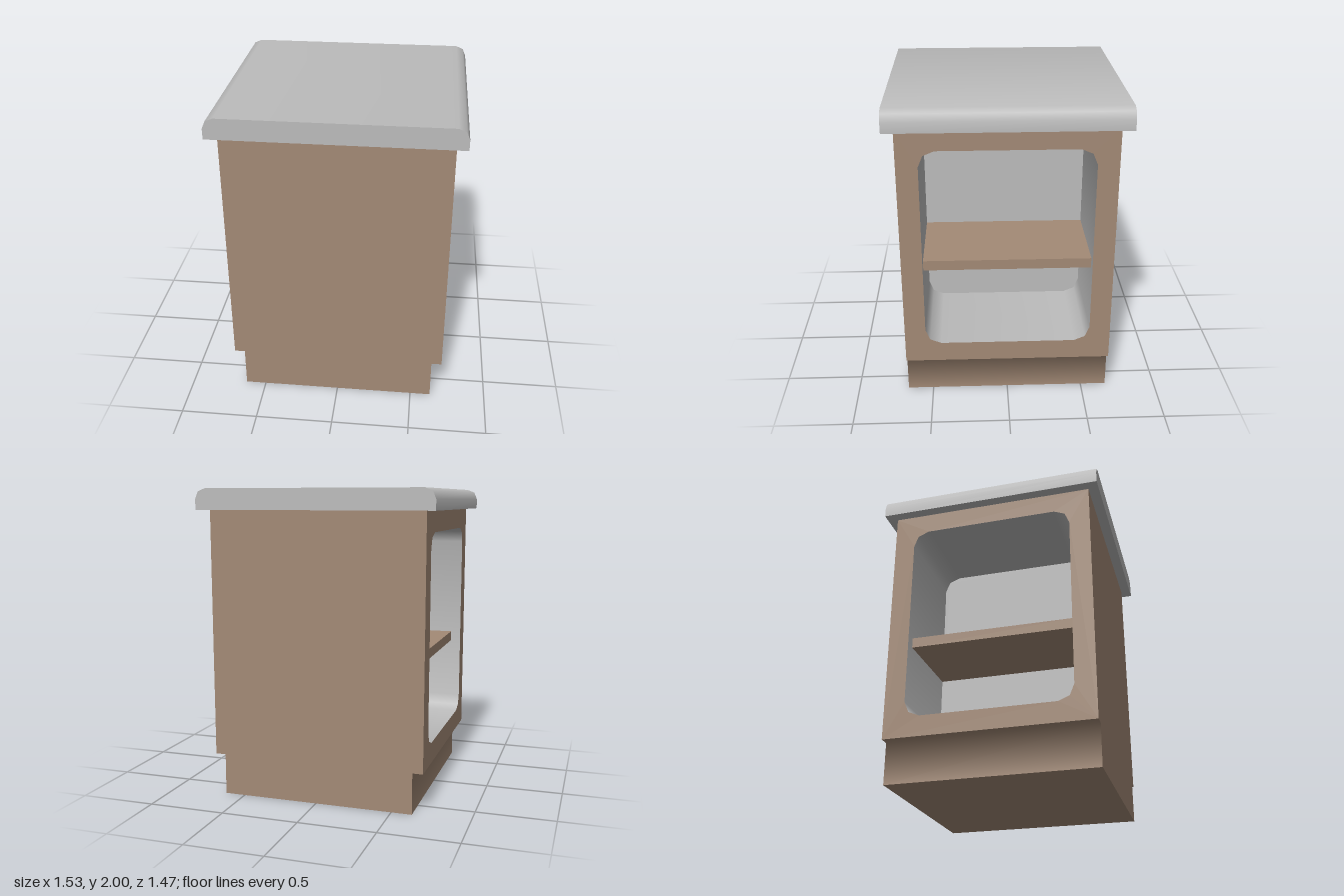
import * as THREE from 'three';

const V = (x, y) => new THREE.Vector2(x, y);

// Quarter-round corner in two facets, from angle a0 by a quarter turn
function corner(cx, cy, r, a0) {
  return [0, 1, 2].map((i) => {
    const a = a0 + (i * Math.PI) / 4;
    return V(cx + r * Math.cos(a), cy + r * Math.sin(a));
  });
}

// Smooth-shaded strip: a profile in xy swept along z; faces lie to the right of the path
function ribbon(points, z0, z1, closed = false) {
  const pts = closed ? [...points, points[0]] : points;
  const segs = pts.slice(1).map((p, i) => {
    const d = p.clone().sub(pts[i]).normalize();
    return V(d.y, -d.x);
  });
  const pos = [], nor = [], idx = [];
  pts.forEach((p, i) => {
    const before = segs[i - 1] ?? (closed ? segs[segs.length - 1] : segs[0]);
    const after = segs[i] ?? (closed ? segs[0] : segs[segs.length - 1]);
    const n = before.clone().add(after).normalize();
    pos.push(p.x, p.y, z1, p.x, p.y, z0);
    nor.push(n.x, n.y, 0, n.x, n.y, 0);
    if (i < segs.length) {
      const a = i * 2;
      idx.push(a, a + 1, a + 3, a, a + 3, a + 2);
    }
  });
  const g = new THREE.BufferGeometry();
  g.setAttribute('position', new THREE.Float32BufferAttribute(pos, 3));
  g.setAttribute('normal', new THREE.Float32BufferAttribute(nor, 3));
  g.setIndex(idx);
  return g;
}

export function createModel() {
  const wood = new THREE.MeshStandardMaterial({ name: 'wood', color: 0xa38a76 });
  const grey = new THREE.MeshStandardMaterial({ name: 'grey', color: 0xbcbcbc });

  const W = 0.7, D = 0.667, KICK = 0.267, KICK_X = 0.633, TOP = 1.867;
  const TOP_W = 0.767, TOP_D = 0.733, WALL = 0.067;

  const model = new THREE.Group();
  model.name = 'cabinet';
  const add = (parent, name, geometry, material) => {
    const mesh = new THREE.Mesh(geometry, material);
    mesh.name = name;
    parent.add(mesh);
    return mesh;
  };

  // Stepped outline of the body ends
  const bodyOutline = new THREE.Shape([
    V(-KICK_X, 0), V(KICK_X, 0), V(KICK_X, KICK), V(W, KICK),
    V(W, TOP), V(-W, TOP), V(-W, KICK), V(-KICK_X, KICK),
  ]);

  // Worktop profile, rounded along its two upper side edges
  const r = 0.067;
  const topProfile = [
    V(TOP_W, TOP),
    ...corner(TOP_W - r, 2 - r, r, 0),
    ...corner(-TOP_W + r, 2 - r, r, Math.PI / 2),
    V(-TOP_W, TOP),
  ];

  // Rounded opening shared by the side panels, liners and inner walls
  const nr = 0.1, nx = 0.533 - nr, ny0 = 0.4 + nr, ny1 = 1.733 - nr;
  const opening = [
    ...corner(nx, ny1, nr, 0),
    ...corner(-nx, ny1, nr, Math.PI / 2),
    ...corner(-nx, ny0, nr, Math.PI),
    ...corner(nx, ny0, nr, Math.PI * 1.5),
  ];

  // Each half turn carries one niche side plus one front or back end
  [['right', 0], ['left', Math.PI]].forEach(([side, turn]) => {
    const half = new THREE.Group();
    half.name = side + 'Half';
    half.rotation.y = turn;
    model.add(half);

    add(half, 'bodyEnd', new THREE.ShapeGeometry(bodyOutline).translate(0, 0, D), wood);
    add(half, 'worktopEnd', new THREE.ShapeGeometry(new THREE.Shape(topProfile)).translate(0, 0, TOP_D), grey);
    add(half, 'toeKick', ribbon([V(KICK_X, 0), V(KICK_X, KICK), V(W, KICK)], -D, D), wood);

    // Niche parts, built facing +z and turned to the side
    const niche = new THREE.Group();
    niche.name = 'niche';
    niche.rotation.y = Math.PI / 2;
    half.add(niche);

    const panel = new THREE.Shape([V(-D, KICK), V(D, KICK), V(D, TOP), V(-D, TOP)]);
    panel.holes.push(new THREE.Path(opening));
    add(niche, 'sidePanel', new THREE.ShapeGeometry(panel).translate(0, 0, W), wood);
    add(niche, 'nicheLining', ribbon([...opening].reverse(), WALL, W, true), grey);
    add(niche, 'innerWall', new THREE.ShapeGeometry(new THREE.Shape(opening)).translate(0, 0, WALL), grey);
    const shelf = add(niche, 'shelf', new THREE.BoxGeometry(1.066, 0.066, KICK_X - WALL), wood);
    shelf.position.set(0, 0.937, (KICK_X + WALL) / 2);
  });

  // Underside of the body
  add(model, 'bodyBottom', new THREE.PlaneGeometry(KICK_X * 2, D * 2).rotateX(Math.PI / 2), wood);

  // Worktop upper surface and underside
  add(model, 'worktop', ribbon(topProfile, -TOP_D, TOP_D), grey);
  add(model, 'worktopUnderside',
    new THREE.PlaneGeometry(TOP_W * 2, TOP_D * 2).rotateX(Math.PI / 2).translate(0, TOP, 0), grey);

  return model;
}
